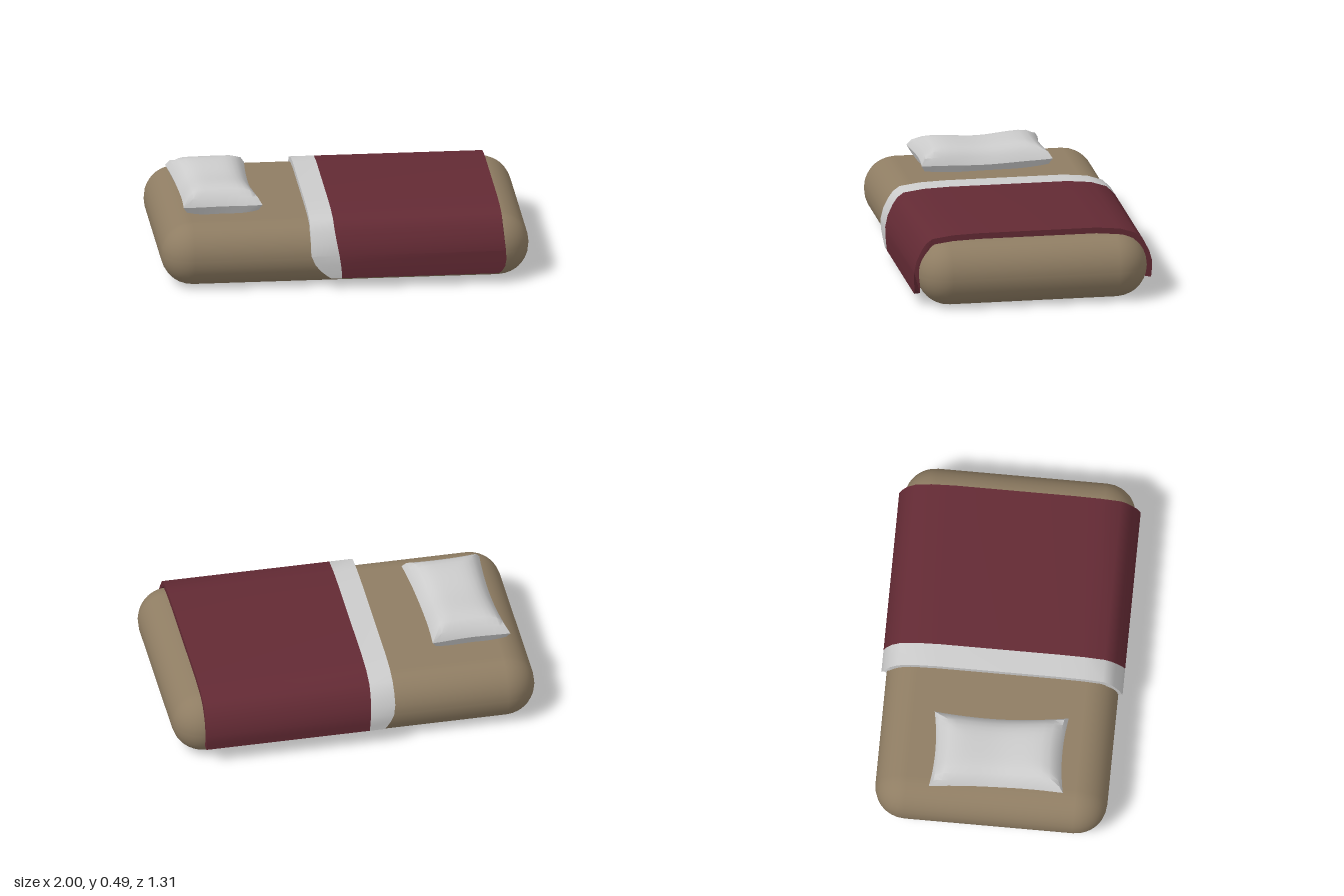
import * as THREE from 'three';
import { RoundedBoxGeometry } from 'three/addons/geometries/RoundedBoxGeometry.js';
import { mergeVertices, toCreasedNormals } from 'three/addons/utils/BufferGeometryUtils.js';

const { lerp, smoothstep } = THREE.MathUtils;

function addMesh(group, name, geometry, color) {
  const mesh = new THREE.Mesh(geometry, new THREE.MeshStandardMaterial({ color }));
  mesh.name = name;
  group.add(mesh);
}

// Outer line of the draped cover as [z, y], from the front hem over to the back hem
const DRAPE = [
  [0.648, 0.06], [0.65, 0.075], [0.652, 0.1], [0.655, 0.14], [0.655, 0.19], [0.64, 0.25], [0.61, 0.31],
  [0.585, 0.345], [0.55, 0.37], [0.44, 0.385], [0.3, 0.39],
  [-0.35, 0.39], [-0.48, 0.378], [-0.565, 0.35], [-0.61, 0.305], [-0.64, 0.245], [-0.655, 0.19],
  [-0.655, 0.15], [-0.652, 0.125], [-0.65, 0.1],
];

// Thick cloth strip across the bed; left and right give its x edges at each height
function drapeGeometry(left, right) {
  const thickness = 0.032;
  const inner = DRAPE.map(([z, y], i) => {
    const a = DRAPE[Math.max(i - 1, 0)];
    const b = DRAPE[Math.min(i + 1, DRAPE.length - 1)];
    const dz = b[0] - a[0], dy = b[1] - a[1], len = Math.hypot(dz, dy);
    return [z - (dy / len) * thickness, y + (dz / len) * thickness];
  });
  const outline = [...DRAPE, ...inner.reverse()].map(([z, y]) => new THREE.Vector2(-z, y));
  const geometry = new THREE.ExtrudeGeometry(new THREE.Shape(outline), { depth: 1, steps: 1, bevelEnabled: false });
  geometry.rotateY(Math.PI / 2);
  const p = geometry.attributes.position;
  for (let i = 0; i < p.count; i++) {
    const y = p.getY(i), z = p.getZ(i);
    p.setX(i, lerp(left(y, z), right(y, z), p.getX(i)));
  }
  return toCreasedNormals(geometry, 0.6);
}

// Box bent into a cushion: pinched corners, dipped middle, thin edges
function pillowGeometry() {
  let geometry = new THREE.BoxGeometry(2, 2, 2, 12, 2, 14);
  const p = geometry.attributes.position;
  for (let i = 0; i < p.count; i++) {
    const u = p.getX(i), h = p.getY(i), v = p.getZ(i);
    const inset = h > 0.5 ? 0.022 : h < -0.5 ? 0.02 : 0;
    const halfX = 0.195 + 0.02 * v * v - inset;
    const halfZ = 0.343 + 0.02 * u * u - inset;
    const x = -0.667 + 0.014 * v + u * halfX;
    const z = 0.028 + v * halfZ - 0.004 * u;
    const rim = Math.max(Math.abs(u) ** 5, Math.abs(v) ** 9);
    const top = 0.473 + 0.014 * smoothstep(Math.abs(v), 0, 0.7) - 0.04 * rim - 0.008 * u * u;
    const bottom = 0.348 + 0.022 * Math.abs(u * v) ** 3;
    const y = h > 0.5 ? top : h < -0.5 ? bottom : lerp(bottom, top, 0.5);
    p.setXYZ(i, x, y, z);
  }
  geometry.deleteAttribute('normal');
  geometry.deleteAttribute('uv');
  geometry = mergeVertices(geometry, 1e-4);
  return toCreasedNormals(geometry, 0.7);
}

export function createModel() {
  const group = new THREE.Group();
  group.name = 'bed';

  // Mattress
  const mattress = new RoundedBoxGeometry(2, 0.35, 1.26, 4, 0.172);
  mattress.translate(0, 0.175, 0.003);
  addMesh(group, 'mattress', mattress, 0x8f7d63);

  // Folded sheet and blanket; their edges drift toward the foot near the hem
  const drop = (y, z) => Math.max(0, 1 - (y - (z > 0 ? 0.06 : 0.1)) / 0.16);
  const sheetEdge = (y, z) => -0.2 + (z > 0 ? 0.11 : 0.06) * drop(y, z) ** 2.2;
  const seam = (y, z) => -0.072 + (z > 0 ? 0.04 : 0.015) * smoothstep(0.39 - y, 0, 0.33);
  const footEdge = (y, z) => 0.845 + (z > 0 ? 0.017 * smoothstep(0.39 - y, 0.05, 0.25) - 0.04 * drop(y, z) ** 6 : 0);
  addMesh(group, 'foldedSheet', drapeGeometry(sheetEdge, seam), 0xcccccc);
  addMesh(group, 'blanket', drapeGeometry(seam, footEdge), 0x632a34);

  // Pillow
  addMesh(group, 'pillow', pillowGeometry(), 0xcccccc);
  return group;
}
